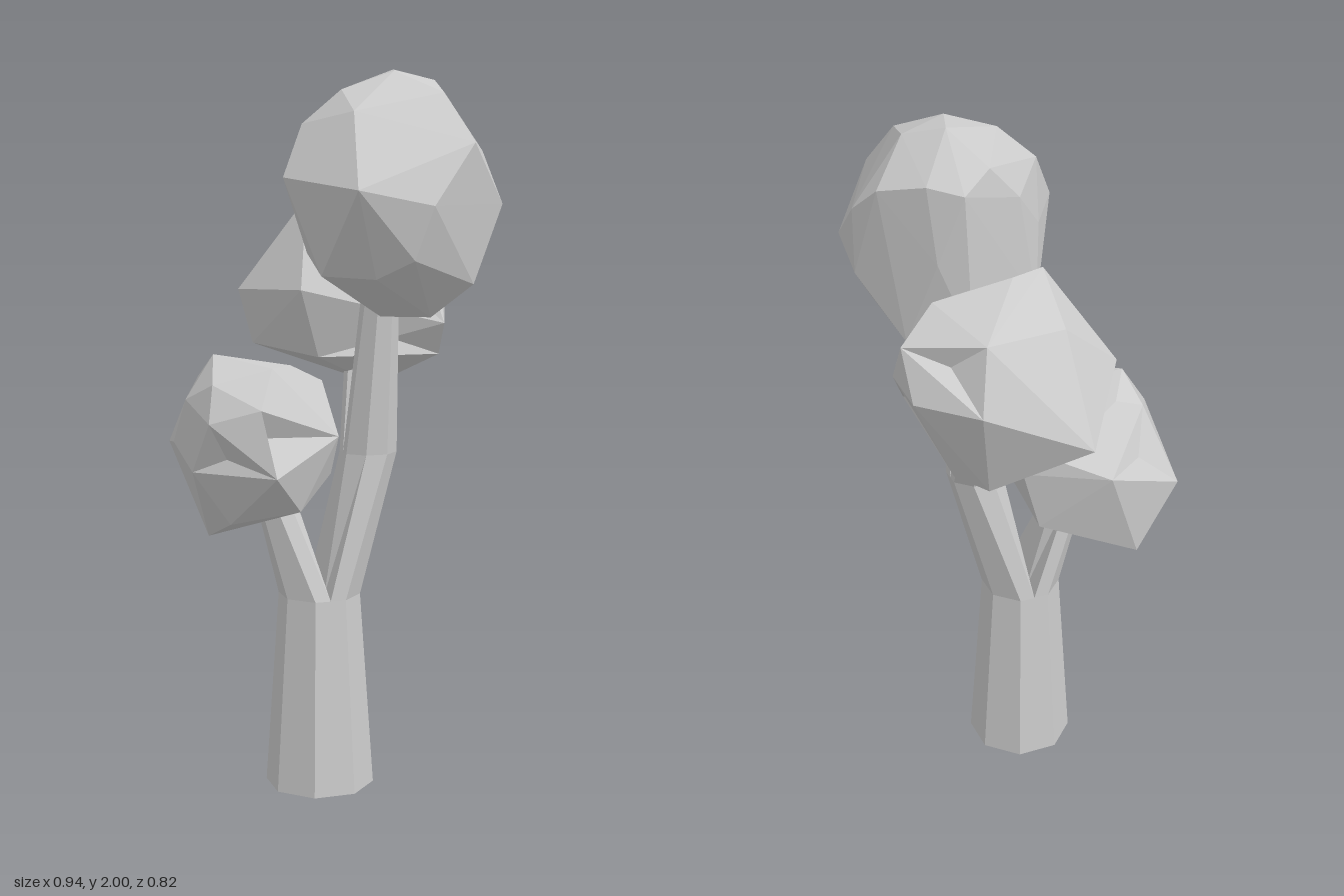
import * as THREE from 'three';
import { ConvexGeometry } from 'three/addons/geometries/ConvexGeometry.js';

const wood = new THREE.MeshStandardMaterial({ color: 0xcccccc, flatShading: true });
const leaf = wood.clone();
const SIDES = 8;

// Closed loft through octagonal rings [x, y, z, radius, half].
// half is an optional angle: only the half of the ring facing that way is kept,
// so two limbs can grow flush out of one ring.
function limb(name, rings) {
  const pos = [], idx = [];
  for (const [x, y, z, r, half] of rings) {
    for (let i = 0; i < SIDES; i++) {
      const a = ((i + 0.5) / SIDES) * Math.PI * 2;
      const cut = half === undefined ? 0 : Math.min(0, Math.cos(a - half));
      const dx = Math.sin(a) - cut * Math.sin(half ?? 0);
      const dz = Math.cos(a) - cut * Math.cos(half ?? 0);
      pos.push(x + r * dx, y, z + r * dz);
    }
  }
  for (let k = 0; k < rings.length - 1; k++) {
    for (let i = 0; i < SIDES; i++) {
      const j = (i + 1) % SIDES, a = k * SIDES, b = a + SIDES;
      idx.push(a + i, a + j, b + j, a + i, b + j, b + i);
    }
  }
  // End caps
  const top = (rings.length - 1) * SIDES;
  for (let i = 1; i < SIDES - 1; i++) {
    idx.push(0, i + 1, i, top, top + i, top + i + 1);
  }
  const geo = new THREE.BufferGeometry();
  geo.setAttribute('position', new THREE.Float32BufferAttribute(pos, 3));
  geo.setIndex(idx);
  geo.computeVertexNormals();
  const mesh = new THREE.Mesh(geo, wood);
  mesh.name = name;
  return mesh;
}

// Faceted leaf mass: a hull of corner points, with a few faces folded inward at the dents
function crown(name, corners, dents = []) {
  const toVec = (p) => new THREE.Vector3(...p);
  const hull = new ConvexGeometry(corners.map(toVec)).getAttribute('position');
  let tris = [];
  for (let i = 0; i < hull.count; i += 3) {
    tris.push([0, 1, 2].map((k) => new THREE.Vector3().fromBufferAttribute(hull, i + k)));
  }
  const centre = new THREE.Box3().setFromPoints(corners.map(toVec)).getCenter(new THREE.Vector3());
  for (const d of dents.map(toVec)) {
    const ray = new THREE.Ray(centre, d.clone().sub(centre).normalize());
    const hit = tris.find(([a, b, c]) => ray.intersectTriangle(a, b, c, false, new THREE.Vector3()));
    if (!hit) continue;
    const [a, b, c] = hit;
    tris = tris.filter((t) => t !== hit);
    tris.push([a, b, d], [b, c, d], [c, a, d]);
  }
  const geo = new THREE.BufferGeometry().setFromPoints(tris.flat());
  geo.computeVertexNormals();
  const mesh = new THREE.Mesh(geo, leaf);
  mesh.name = name;
  return mesh;
}

export function createModel() {
  const tree = new THREE.Group();
  tree.name = 'tree';

  // Trunk splits in two, then the rear stem splits again
  const q = Math.PI / 4;
  const trunkTop = [-0.02, 0.55, 0.095, 0.115];
  const stemTop = [0.088, 0.95, 0.005, 0.08];
  tree.add(
    limb('trunk', [[-0.02, 0, 0.095, 0.153], trunkTop]),
    limb('leftFrontBranch', [[...trunkTop, -q], [-0.14, 0.86, 0.155, 0.055]]),
    limb('rearStem', [[...trunkTop, 3 * q], stemTop]),
    limb('tallBranch', [[...stemTop, q], [0.14, 1.42, 0.035, 0.05]]),
    limb('backBranch', [[...stemTop, -3 * q], [0, 1.25, -0.14, 0.05]])
  );

  // Highest crown
  tree.add(crown('topCrown', [
    [0.12, 2, -0.08], [0.18, 1.99, 0.04], [0.24, 1.97, -0.09], [0.335, 1.93, 0.06],
    [0.07, 1.94, 0.135], [0.16, 1.88, 0.24], [0, 1.91, -0.08], [0.03, 1.86, -0.17],
    [0.125, 1.88, -0.195], [0.265, 1.85, -0.195], [0.35, 1.78, -0.17], [-0.05, 1.81, 0],
    [-0.06, 1.7, 0.11], [-0.02, 1.85, 0.19], [-0.02, 1.71, 0.295], [0.245, 1.68, 0.385],
    [0.45, 1.8, 0.12], [0.467, 1.64, -0.03], [0.4, 1.64, 0.26], [0.42, 1.43, 0.05],
    [0.35, 1.5, 0.27], [0.245, 1.45, 0.28], [0.09, 1.455, 0.29], [-0.08, 1.5, 0.05],
    [0.31, 1.34, 0.08], [0.18, 1.34, 0.12], [0.16, 1.33, 0], [0.2, 1.43, -0.18],
    [0.02, 1.45, -0.15], [0.1, 1.67, -0.19], [0.35, 1.6, -0.17]
  ]));

  // Lowest crown
  tree.add(crown('leftFrontCrown', [
    [-0.26, 1.23, 0.26], [-0.285, 1.19, 0.14], [-0.09, 1.195, 0.13], [-0.345, 1.16, 0.2],
    [-0.075, 1.2, 0.26], [-0.31, 1.11, 0.325], [-0.2, 1.16, 0.365], [-0.47, 0.96, 0.16],
    [-0.185, 1.06, 0.41], [-0.26, 0.92, 0.375], [-0.05, 1.1, 0.365], [0, 0.92, 0.37],
    [0.07, 1.01, 0.15], [0.03, 0.9, 0.12], [-0.385, 0.98, 0.27], [-0.39, 0.98, 0.05],
    [-0.34, 1.04, -0.03], [-0.12, 1.07, -0.14], [-0.2, 1.11, -0.1], [-0.15, 0.88, -0.09],
    [-0.18, 0.77, 0.31], [-0.305, 0.71, 0.22], [-0.39, 0.77, 0.06], [0, 0.81, 0.24],
    [-0.06, 1.14, 0]
  ], [[-0.06, 1.02, 0.32], [-0.16, 0.96, 0.36], [-0.36, 0.86, 0.18], [-0.37, 1.05, 0.1]]));

  // Rear crown
  tree.add(crown('backCrown', [
    [-0.135, 1.65, -0.05], [-0.08, 1.64, -0.12], [0.095, 1.59, -0.24], [-0.1, 1.545, -0.34],
    [0.13, 1.51, -0.36], [-0.235, 1.53, -0.14], [-0.325, 1.39, 0.01], [-0.365, 1.26, -0.26],
    [-0.12, 1.38, -0.415], [0.075, 1.38, -0.41], [0.175, 1.4, -0.32], [0.23, 1.35, -0.195],
    [0.28, 1.31, -0.08], [0.25, 1.22, -0.11], [0.01, 1.13, -0.31], [-0.1, 1.12, -0.33],
    [0.04, 1.12, -0.14], [-0.29, 1.235, -0.01], [-0.21, 1.3, 0.025], [-0.075, 1.4, 0.095],
    [-0.05, 1.21, 0.04]
  ], [[0, 1.47, -0.34], [0.1, 1.4, -0.12], [0.12, 1.28, -0.2], [0.06, 1.28, -0.06]]));

  return tree;
}
